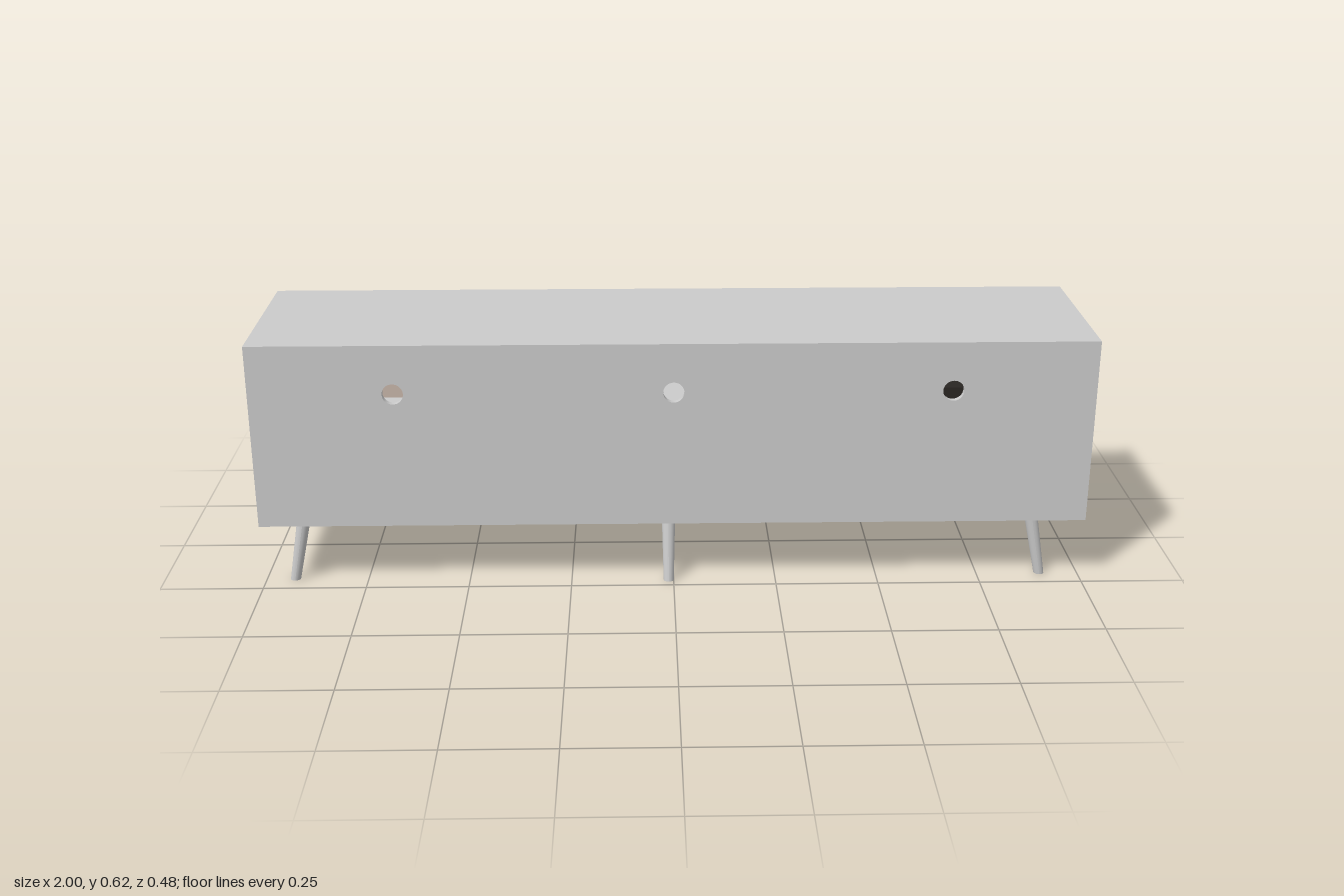
import * as THREE from 'three';

const mat = (color) => new THREE.MeshStandardMaterial({ color });
const grey = mat(0xcccccc);
const black = mat(0x2a2623);
const tan = mat(0xc8b6aa);
const dark = mat(0x1c1a19);

function add(parent, name, geometry, material = grey) {
  const mesh = new THREE.Mesh(geometry, material);
  mesh.name = name;
  parent.add(mesh);
  return mesh;
}

// Box given by its extents on each axis
function box(parent, name, [x0, x1], [y0, y1], [z0, z1], material) {
  const mesh = add(parent, name, new THREE.BoxGeometry(x1 - x0, y1 - y0, z1 - z0), material);
  mesh.position.set((x0 + x1) / 2, (y0 + y1) / 2, (z0 + z1) / 2);
  return mesh;
}

function group(parent, name) {
  const g = new THREE.Group();
  g.name = name;
  parent.add(g);
  return g;
}

const Z0 = -0.205, Z1 = 0.24, Y0 = 0.16, Y1 = 0.617, T = 0.018;
const SHELF = 0.39, BAY = 0.66, DIVIDER = 0.334;

// Tapered leg with level ends, leaning by (dx, dz) from top to foot
function leg(parent, name, x, z, dx, dz, rTop, rFoot) {
  const geo = new THREE.CylinderGeometry(rTop, rFoot, Y0, 24);
  geo.translate(0, Y0 / 2, 0);
  const p = geo.attributes.position;
  for (let i = 0; i < p.count; i++) {
    const t = 1 - p.getY(i) / Y0;
    p.setX(i, p.getX(i) + dx * t);
    p.setZ(i, p.getZ(i) + dz * t);
  }
  geo.computeVertexNormals();
  add(parent, name, geo).position.set(x, 0, z);
}

// Rear panel with a round cable hole behind each bay
function rearPanel(parent) {
  const a = 1 - T, y0 = Y0 + T, y1 = Y1 - T;
  const shape = new THREE.Shape([[-a, y0], [a, y0], [a, y1], [-a, y1]].map((c) => new THREE.Vector2(...c)));
  for (const x of [-BAY, 0, BAY]) {
    const hole = new THREE.Path();
    hole.absarc(x, 0.497, 0.025, 0, Math.PI * 2, true);
    shape.holes.push(hole);
  }
  const geo = new THREE.ExtrudeGeometry(shape, { depth: 0.014, bevelEnabled: false, curveSegments: 24 });
  add(parent, 'rearPanel', geo).position.z = Z1 - 0.014;
}

// Pull bar with a waisted cross-section
function handle(parent, x) {
  const outline = [[0, -0.005], [0.007, -0.0025], [0.013, -0.0025], [0.02, -0.005],
    [0.02, 0.005], [0.013, 0.0025], [0.007, 0.0025], [0, 0.005]];
  const shape = new THREE.Shape(outline.map((c) => new THREE.Vector2(...c)));
  const geo = new THREE.ExtrudeGeometry(shape, { depth: 0.106, bevelEnabled: false });
  geo.translate(0, 0, -0.053);
  const mesh = add(parent, 'handle', geo);
  mesh.rotation.y = Math.PI / 2;
  mesh.position.set(x, 0.332, -0.22);
}

// Flat black media player with a slot and small feet
function mediaPlayer(parent) {
  const g = group(parent, 'mediaPlayer');
  box(g, 'playerBody', [0.417, 0.835], [SHELF + 0.006, 0.445], [-0.188, 0.075], black);
  box(g, 'playerFront', [0.417, 0.835], [SHELF + 0.01, 0.441], [-0.191, -0.188], black);
  box(g, 'discSlot', [0.56, 0.72], [0.424, 0.43], [-0.193, -0.191], dark);
  for (const x of [0.45, 0.8])
    for (const z of [-0.16, 0.045])
      box(g, 'playerFoot', [x - 0.012, x + 0.012], [SHELF, SHELF + 0.006], [z - 0.012, z + 0.012], dark);
}

// Amplifier with display, buttons and knobs on its face
function amplifier(parent) {
  const g = group(parent, 'amplifier');
  const front = -0.187;
  box(g, 'amplifierBody', [-0.842, -0.463], [SHELF + 0.006, 0.502], [front + 0.012, -0.012], tan);
  box(g, 'amplifierFace', [-0.85, -0.455], [SHELF + 0.004, 0.505], [front, front + 0.012], tan);
  box(g, 'display', [-0.705, -0.575], [0.418, 0.444], [front - 0.002, front], dark);
  for (let i = 0; i < 7; i++) {
    const x = -0.71 + i * 0.024;
    box(g, 'button', [x - 0.007, x + 0.007], [0.469, 0.474], [front - 0.003, front], dark);
  }
  for (const [x, y, r] of [[-0.495, 0.44, 0.008], [-0.535, 0.44, 0.005], [-0.745, 0.44, 0.008], [-0.785, 0.44, 0.01]]) {
    const knob = add(g, 'knob', new THREE.CylinderGeometry(r, r, 0.008, 16), tan);
    knob.rotation.x = Math.PI / 2;
    knob.position.set(x, y, front - 0.004);
  }
  for (const x of [-0.81, -0.495])
    for (const z of [-0.16, -0.04])
      box(g, 'amplifierFoot', [x - 0.012, x + 0.012], [SHELF, SHELF + 0.006], [z - 0.012, z + 0.012], dark);
}

export function createModel() {
  const model = new THREE.Group();
  model.name = 'mediaCabinet';

  // Carcass
  const body = group(model, 'cabinet');
  const inner = [-1 + T, 1 - T], depth = [Z0, Z1 - 0.014];
  box(body, 'topPanel', [-1, 1], [Y1 - T, Y1], [Z0, Z1]);
  box(body, 'bottomPanel', [-1, 1], [Y0, Y0 + T], [Z0, Z1]);
  box(body, 'shelf', inner, [SHELF - 0.015, SHELF], depth);
  for (const s of [-1, 1]) {
    const side = [s * (1 - T), s].sort((a, b) => a - b);
    box(body, 'sidePanel', side, [Y0 + T, Y1 - T], [Z0, Z1]);
    for (const y of [[Y0 + T, SHELF - 0.015], [SHELF, Y1 - T]])
      box(body, 'divider', [s * DIVIDER - 0.008, s * DIVIDER + 0.008], y, depth);
  }
  rearPanel(body);

  // Drawers
  for (const [x0, x1] of [[-0.98, -0.342], [-0.326, 0.326], [0.342, 0.98]]) {
    const drawer = group(model, 'drawer');
    box(drawer, 'drawerFront', [x0, x1], [0.181, 0.373], [-0.22, -0.2]);
    handle(drawer, Math.sign(Math.round(x0 + x1)) * BAY);
  }

  // Corner legs splay sideways, the middle one towards the rear panel
  const legs = group(model, 'legs');
  for (const s of [-1, 1])
    for (const z of [-0.159, 0.196])
      leg(legs, 'cornerLeg', s * 0.887 - 0.012, z, s * 0.031, 0, 0.0165, 0.0125);
  leg(legs, 'middleLeg', -0.012, 0.186, 0, 0.034, 0.0165, 0.0125);

  mediaPlayer(model);
  amplifier(model);
  return model;
}
